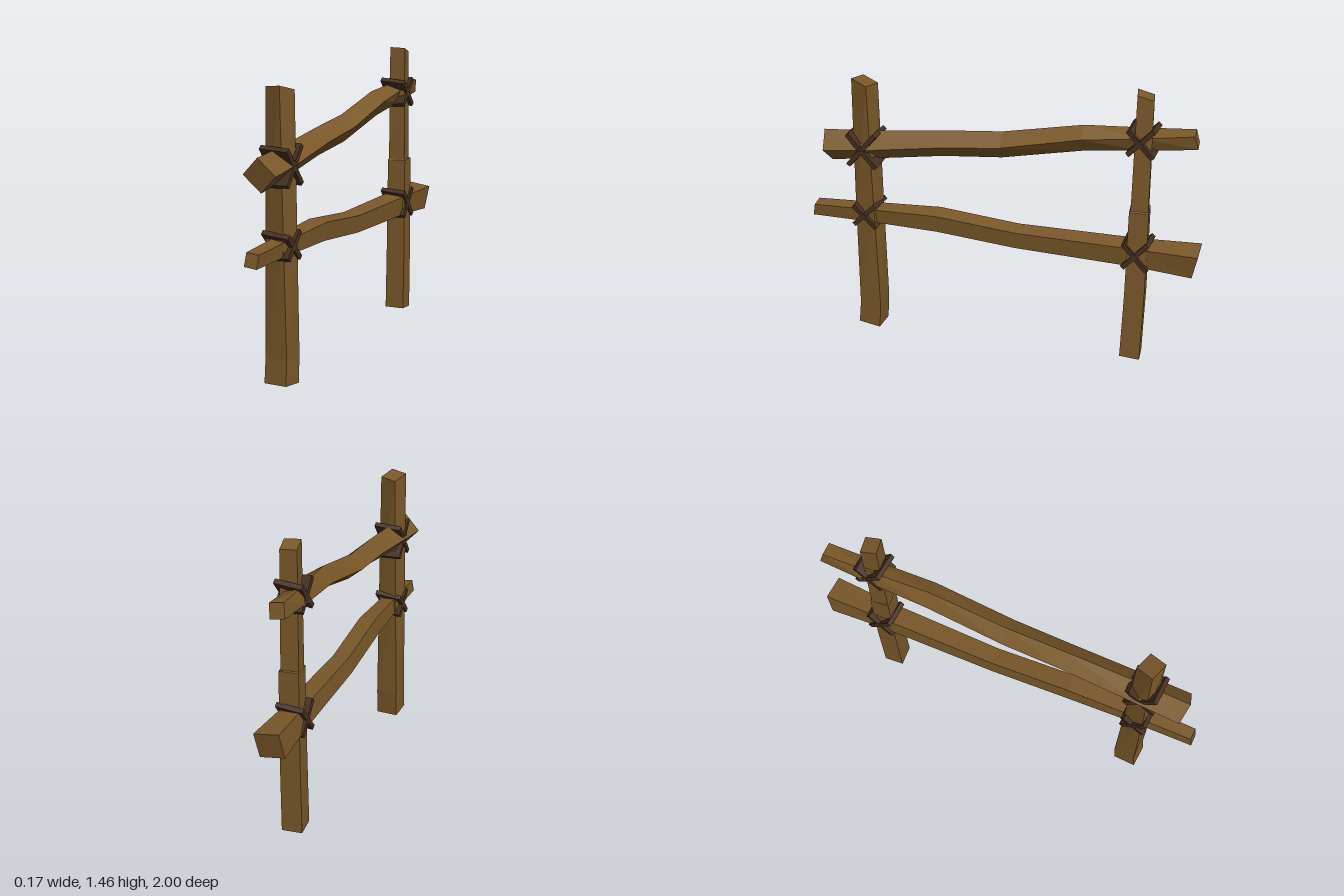
import * as THREE from 'three';

const wood = new THREE.MeshStandardMaterial({ color: 0x7a5829, flatShading: true });
const cord = new THREE.MeshStandardMaterial({ color: 0x452e1f, flatShading: true });
const deg = Math.PI / 180;

// Square beam along z through stations [z, x, y, halfSize, twistDegrees, endSlope]
function beamGeometry(stations) {
  const rings = stations.map(([z, x, y, h, twist, slope = 0]) =>
    [[1, -1], [1, 1], [-1, 1], [-1, -1]].map(([a, b]) => {
      const c = Math.cos(twist * deg), s = Math.sin(twist * deg);
      const u = h * (a * c - b * s), v = h * (a * s + b * c);
      return [x + u, y + v, z + slope * v];
    }));
  const pos = [];
  const quad = (a, b, c, d) => pos.push(...a, ...b, ...c, ...a, ...c, ...d);
  for (let i = 0; i < rings.length - 1; i++) {
    const p = rings[i], q = rings[i + 1];
    for (let k = 0; k < 4; k++) {
      const n = (k + 1) % 4;
      quad(p[k], p[n], q[n], q[k]);
    }
  }
  const first = rings[0], last = rings[rings.length - 1];
  quad(first[3], first[2], first[1], first[0]);
  quad(...last);
  const geometry = new THREE.BufferGeometry();
  geometry.setAttribute('position', new THREE.Float32BufferAttribute(pos, 3));
  return geometry;
}

function addBeam(group, name, stations, upright = false) {
  const geometry = beamGeometry(stations);
  if (upright) geometry.rotateX(-Math.PI / 2); // z becomes y, y becomes -z
  geometry.computeVertexNormals();
  const mesh = new THREE.Mesh(geometry, wood);
  mesh.name = name;
  group.add(mesh);
}

// Two crossed bands lashed round a joint
function addLashing(group, name, [x, y, z], length, depth, angle, tilt) {
  const lashing = new THREE.Group();
  lashing.name = name;
  for (const side of [-1, 1]) {
    const band = new THREE.Mesh(new THREE.BoxGeometry(depth, 0.024, length), cord);
    band.name = 'lashingBand';
    band.rotation.set(side * angle * deg, 0, side * tilt * deg);
    lashing.add(band);
  }
  lashing.position.set(x, y, z);
  group.add(lashing);
}

export function createModel() {
  const model = new THREE.Group();
  model.name = 'fence';

  // Posts: stations run upward, third value is -z
  addBeam(model, 'frontPost', [
    [0.012, 0.003, -0.708, 0.058, -4, -0.12],
    [0.14, 0.003, -0.697, 0.057, -4],
    [0.7, 0.003, -0.698, 0.052, -10],
    [1.385, 0.002, -0.695, 0.046, -20, -0.27],
  ], true);
  addBeam(model, 'backPost', [
    [0.03, 0, 0.686, 0.051, 3, -0.1],
    [0.4, 0, 0.695, 0.05, 3],
    [0.86, 0, 0.696, 0.048, 4],
    [0.865, -0.002, 0.696, 0.043, 6],
    [1.455, -0.004, 0.697, 0.04, 8, -0.3],
  ], true);

  // Rails: stations run from back to front
  addBeam(model, 'upperRail', [
    [-0.945, -0.043, 1.24, 0.035, -8, 0.25],
    [-0.7, -0.035, 1.217, 0.039, -20],
    [-0.4, -0.022, 1.195, 0.045, -32],
    [0, -0.016, 1.115, 0.047, -38],
    [0.3, -0.008, 1.09, 0.048, -42],
    [0.7, 0.003, 1.04, 0.055, -45],
    [0.905, 0.005, 1.02, 0.058, -45, 0.2],
  ]);
  addBeam(model, 'lowerRail', [
    [-0.988, -0.011, 0.608, 0.063, -8, -0.2],
    [-0.7, -0.01, 0.613, 0.052, -6],
    [-0.08, -0.008, 0.622, 0.045, -6],
    [0.33, 0.002, 0.665, 0.046, -6],
    [0.7, 0.008, 0.663, 0.037, -6],
    [0.993, 0.01, 0.657, 0.032, -6, -0.2],
  ]);

  // Lashings at the four joints
  addLashing(model, 'upperFrontLashing', [0.008, 1.035, 0.7], 0.225, 0.145, 50, 4);
  addLashing(model, 'lowerFrontLashing', [0.005, 0.668, 0.7], 0.165, 0.145, 45, 6);
  addLashing(model, 'upperBackLashing', [-0.015, 1.225, -0.695], 0.18, 0.14, 47, 6);
  addLashing(model, 'lowerBackLashing', [-0.01, 0.62, -0.695], 0.185, 0.14, 49, 5);

  return model;
}
